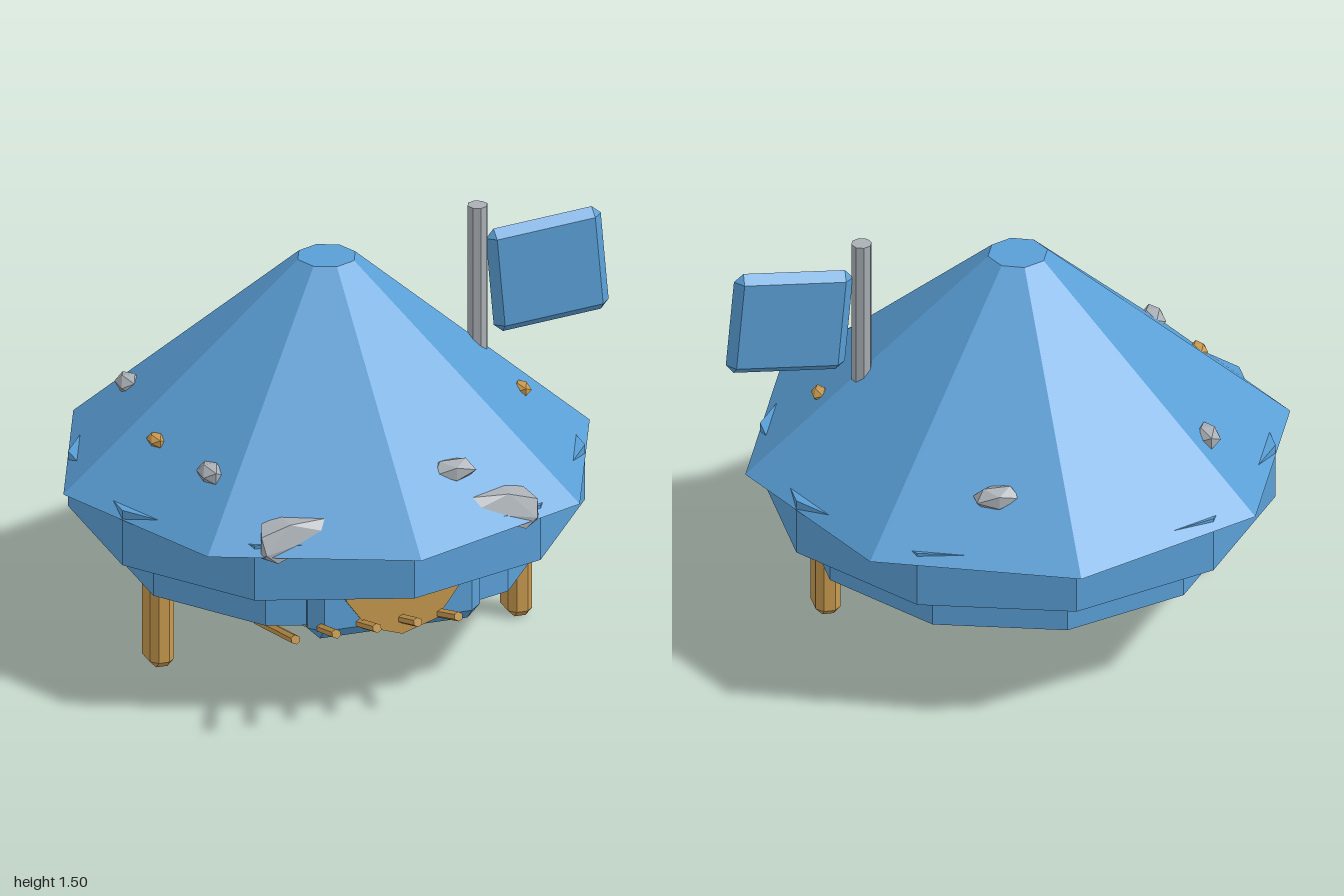
import * as THREE from 'three';
import { ConvexGeometry } from 'three/addons/geometries/ConvexGeometry.js';

const CX = -0.037; // axis of the hut body

export function createModel() {
  const model = new THREE.Group();
  const mat = (name, color) => {
    const m = new THREE.MeshStandardMaterial({ color, flatShading: true });
    m.name = name;
    return m;
  };
  const blue = mat('blue', 0x5a9fd6);
  const tan = mat('tan', 0xc8994f);
  const grey = mat('grey', 0xa9afb5);

  const add = (name, geo, material, x = 0, y = 0, z = 0) => {
    const mesh = new THREE.Mesh(geo, material);
    mesh.name = name;
    mesh.position.set(x, y, z);
    model.add(mesh);
    return mesh;
  };
  const cyl = (top, bottom, y0, y1, sides) =>
    new THREE.CylinderGeometry(top, bottom, y1 - y0, sides).translate(0, (y0 + y1) / 2, 0);
  const hull = (pts) => new ConvexGeometry(pts.map((p) => new THREE.Vector3(...p)));

  // box of half sizes w, h, d with all edges chamfered by b
  const chamferBox = (w, h, d, b) => {
    const pts = [];
    for (const i of [-1, 1]) for (const j of [-1, 1]) for (const k of [-1, 1]) {
      pts.push([i * (w - b), j * (h - b), k * d]);
      if (d > b || k > 0) {
        pts.push([i * w, j * (h - b), k * (d - b)]);
        pts.push([i * (w - b), j * h, k * (d - b)]);
      }
    }
    return hull(pts);
  };

  // roof and the two stepped tiers below it
  add('roof', cyl(0.105, 0.9625, 0.63, 1.385, 8), blue, CX);
  add('upperTier', cyl(0.89, 0.89, 0.46, 0.665, 10), blue, CX);
  add('lowerTier', cyl(0.755, 0.755, 0.31, 0.47, 10), blue, CX);

  // mouth plate and tongue disc
  add('mouthPlate', chamferBox(0.315, 0.15, 0.05, 0.045), blue, CX, 0.415, 0.675);
  const disc = new THREE.CylinderGeometry(0.215, 0.215, 0.045, 10).rotateX(Math.PI / 2);
  add('tongue', disc, tan, CX, 0.495, 0.748);

  // fan of five sticks under the front
  for (let i = -3; i <= 1; i++) {
    const a = new THREE.Vector3(CX + i * 0.149, 0.385, 0.925);
    const b = new THREE.Vector3(CX + i * 0.114, 0.17, 0.25);
    const stick = add('stick', new THREE.CylinderGeometry(0.017, 0.017, a.distanceTo(b), 6), tan);
    stick.position.copy(a).lerp(b, 0.5);
    stick.quaternion.setFromUnitVectors(new THREE.Vector3(0, 1, 0), a.sub(b).normalize());
  }

  // legs and brows, mirrored about the body axis
  const brow = [
    [0.505, 0.7, 0.74], [0.508, 0.625, 0.74], [0.46, 0.6, 0.7], [0.453, 0.605, 0.765],
    [0.41, 0.737, 0.66], [0.48, 0.72, 0.67], [0.25, 0.735, 0.73], [0.25, 0.692, 0.765],
    [0.4, 0.732, 0.74], [0.495, 0.64, 0.765],
  ];
  for (const s of [-1, 1]) {
    add('leg', chamferBox(0.044, 0.24, 0.065, 0.024), tan, CX + s * 0.655, 0.24, 0.105);
    add('brow', hull(brow.map(([x, y, z]) => [s * x, y, z])), grey, CX);
  }

  // pole and tilted flag
  add('flagPole', cyl(0.036, 0.036, 0.265, 1.495, 8), grey, 0.515);
  add('flag', chamferBox(0.211, 0.195, 0.031, 0.031), blue, 0.77, 1.218, 0).rotation.z = 0.088;

  // stones and nuggets stuck in the roof: position, then half sizes
  const stones = [
    [0.19, 0.812, 0.65, 0.09, 0.045, 0.052, grey],
    [0.19, 0.812, -0.655, 0.09, 0.045, 0.052, grey],
    [-0.61, 0.82, 0.41, 0.045, 0.04, 0.07, grey],
    [-0.61, 0.82, -0.42, 0.045, 0.04, 0.07, grey],
    [-0.705, 0.842, 0.125, 0.032, 0.025, 0.05, tan],
    [0.632, 0.842, 0.125, 0.032, 0.025, 0.05, tan],
  ];
  for (const [x, y, z, w, h, d, m] of stones) {
    add('roofStone', new THREE.IcosahedronGeometry(1, 0), m, x, y, z).scale.set(w, h, d);
  }
  return model;
}
